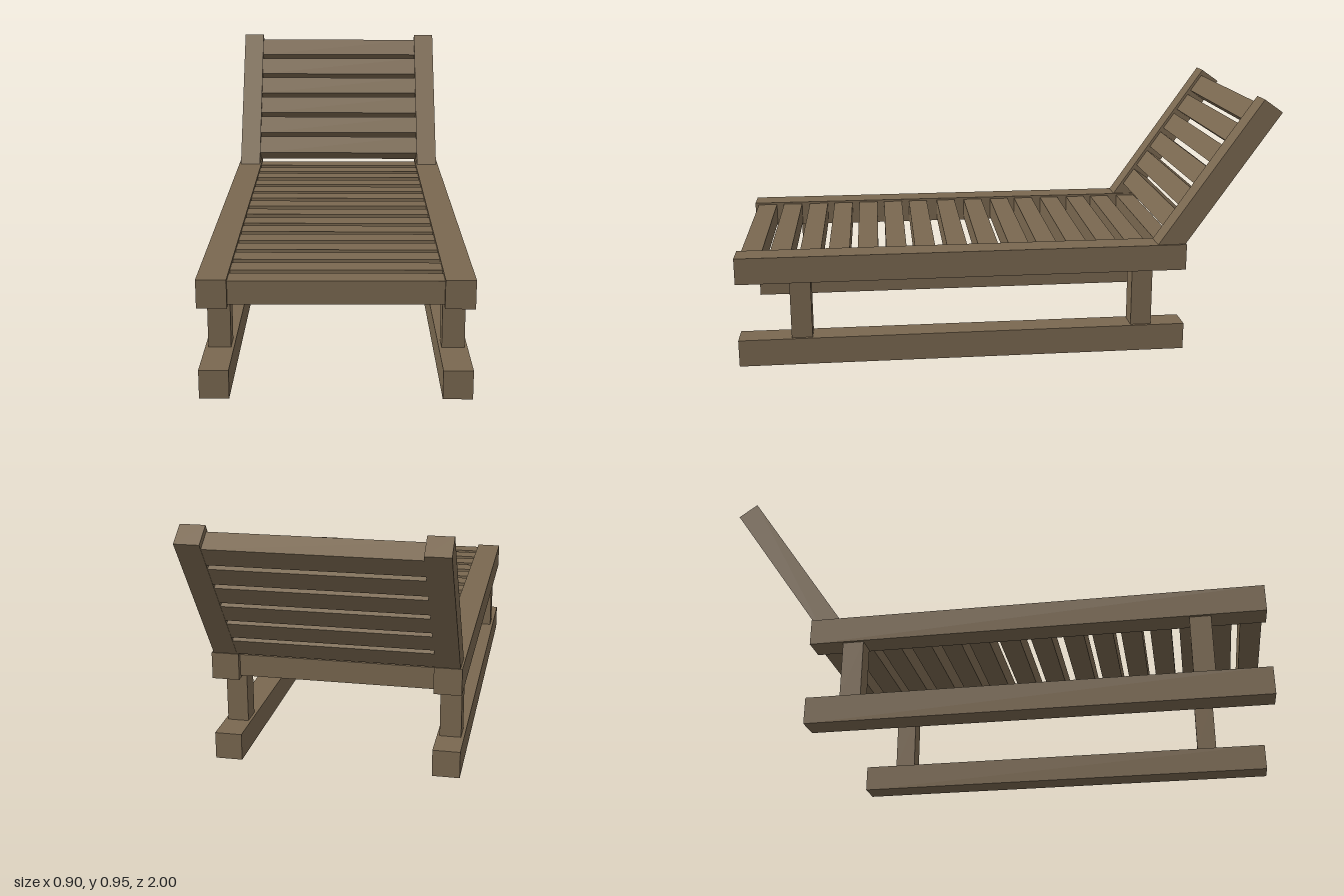
import * as THREE from 'three';

export function createModel() {
  const model = new THREE.Group();
  model.name = 'sunLounger';
  const wood = new THREE.MeshStandardMaterial({ color: 0x7a6850 });
  wood.name = 'brownWood';

  // Box given by its extents along each axis
  function beam(parent, name, [x0, x1], [y0, y1], [z0, z1]) {
    const mesh = new THREE.Mesh(new THREE.BoxGeometry(x1 - x0, y1 - y0, z1 - z0), wood);
    mesh.position.set((x0 + x1) / 2, (y0 + y1) / 2, (z0 + z1) / 2);
    mesh.name = name;
    parent.add(mesh);
  }
  const span = (side, a, b) => (side > 0 ? [a, b] : [-b, -a]);

  // Reclined backrest, hinged from its top front edge
  const backrest = new THREE.Group();
  backrest.name = 'backrest';
  backrest.position.set(0, 0.951, -0.93);
  backrest.rotation.x = THREE.MathUtils.degToRad(-35);
  model.add(backrest);

  for (const side of [1, -1]) {
    const label = side > 0 ? 'left' : 'right';
    // Ground runner, seat rail and the two posts between them
    beam(model, label + 'Runner', span(side, 0.35, 0.449), [0, 0.1], [-0.66, 1]);
    beam(model, label + 'SeatRail', span(side, 0.35, 0.449), [0.314, 0.412], [-0.66, 1]);
    beam(model, label + 'FrontPost', span(side, 0.36, 0.438), [0.1, 0.314], [0.732, 0.808]);
    beam(model, label + 'BackPost', span(side, 0.36, 0.438), [0.1, 0.314], [-0.535, -0.457]);
    // Backrest upright, sunk into the rail
    beam(backrest, label + 'Upright', span(side, 0.356, 0.442), [-0.71, 0], [-0.085, 0]);
  }

  // Seat slats, slightly uneven in spacing
  const slatCentres = [0.948, 0.842, 0.733, 0.628, 0.522, 0.417, 0.31, 0.19,
    0.073, -0.042, -0.148, -0.262, -0.378, -0.485, -0.602];
  for (const z of slatCentres) {
    beam(model, 'seatSlat', [-0.352, 0.352], [0.324, 0.404], [z - 0.038, z + 0.038]);
  }

  // Backrest slats, set back from the front of the uprights
  for (let i = 0; i < 6; i++) {
    const top = -0.021 - i * 0.0996;
    beam(backrest, 'backrestSlat', [-0.357, 0.357], [top - 0.079, top], [-0.084, -0.01]);
  }
  return model;
}
